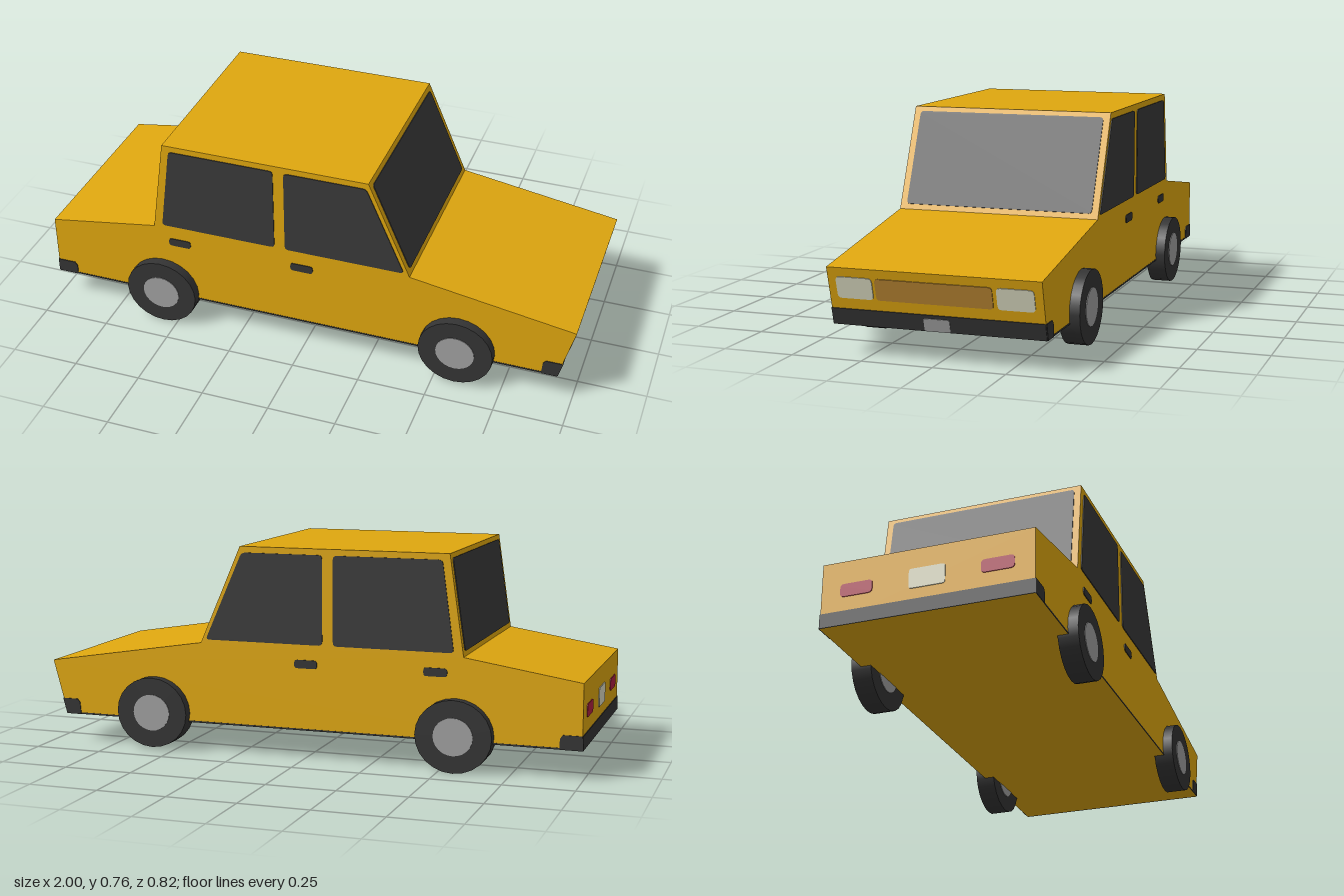
import * as THREE from 'three';

const paint = (name, color) => new THREE.MeshStandardMaterial({ name, color });

export function createModel() {
  const car = new THREE.Group();
  car.name = 'car';
  const yellow = paint('body yellow', 0xdfa70f);
  const glass = paint('dark glass', 0x393939);
  const black = paint('black rubber', 0x343434);
  const grey = paint('metal grey', 0xa0a0a0);
  const cream = paint('lamp cream', 0xdcdbc2);
  const bronze = paint('grille bronze', 0xb98632);
  const red = paint('tail lamp red', 0xb02042);
  const HALF = 0.37;

  const add = (name, geometry, material) => {
    const mesh = new THREE.Mesh(geometry, material);
    mesh.name = name;
    car.add(mesh);
    return mesh;
  };

  // Polygon with slightly rounded corners
  const rounded = (points, r) => {
    const p = points.map(([x, y]) => new THREE.Vector2(x, y));
    const shape = new THREE.Shape();
    p.forEach((c, i) => {
      const prev = p[(i + p.length - 1) % p.length], next = p[(i + 1) % p.length];
      const a = c.clone().add(prev.clone().sub(c).setLength(r));
      const b = c.clone().add(next.clone().sub(c).setLength(r));
      if (i) shape.lineTo(a.x, a.y); else shape.moveTo(a.x, a.y);
      shape.quadraticCurveTo(c.x, c.y, b.x, b.y);
    });
    shape.closePath();
    return shape;
  };
  const plate = (points, r, depth) => new THREE.ExtrudeGeometry(
    r ? rounded(points, r) : new THREE.Shape(points.map(([x, y]) => new THREE.Vector2(x, y))),
    { depth, bevelEnabled: false, curveSegments: 3 });

  // Body: one side profile extruded across the width
  const noseLow = [0.943, 0.105], noseTop = [0.997, 0.305];
  const screenLow = [0.395, 0.402], screenTop = [0.24, 0.757];
  const rearTop = [-0.53, 0.757], rearLow = [-0.582, 0.402];
  const tailTop = [-0.997, 0.337], tailLow = [-0.997, 0.105];
  const body = plate([tailLow, noseLow, noseTop, screenLow, screenTop, rearTop, rearLow, tailTop], 0, 2 * HALF);
  add('body', body.translate(0, 0, -HALF), yellow);

  // Plate on both flanks, given as x, y points
  const flank = (name, points, r, material, depth = 0.003) => {
    for (const side of [1, -1]) {
      const g = plate(points.map(([x, y]) => [x * side, y]), r, depth).translate(0, 0, HALF);
      if (side < 0) g.rotateY(Math.PI);
      add(name + (side > 0 ? 'Near' : 'Far'), g, material);
    }
  };

  // Rectangle on a face across the car that follows the profile line a-b
  const across = (name, a, b, dir, [z0, z1], [y0, y1], r, material, depth = 0.003) => {
    const slope = (b[0] - a[0]) / (b[1] - a[1]);
    const u = [-dir * z0, -dir * z1].sort((m, n) => m - n);
    const g = plate([[u[0], y0], [u[1], y0], [u[1], y1], [u[0], y1]], r, depth);
    g.applyMatrix4(new THREE.Matrix4().makeBasis(
      new THREE.Vector3(0, 0, -dir),
      new THREE.Vector3(slope, 1, 0),
      new THREE.Vector3(dir, -dir * slope, 0).normalize()
    ).setPosition(a[0] - slope * a[1], 0, 0));
    add(name, g, material);
  };

  // Windows
  flank('rearSideWindow', [[-0.548, 0.415], [-0.11, 0.415], [-0.11, 0.735], [-0.505, 0.735]], 0.014, glass);
  flank('frontSideWindow', [[-0.07, 0.415], [0.375, 0.415], [0.233, 0.735], [-0.07, 0.735]], 0.014, glass);
  across('windscreen', screenLow, screenTop, 1, [-0.346, 0.346], [0.42, 0.74], 0.012, glass);
  across('rearWindow', rearLow, rearTop, -1, [-0.346, 0.346], [0.42, 0.74], 0.012, glass);

  // Door handles and sills
  for (const x of [-0.525, -0.05]) {
    flank('doorHandle', [[x, 0.33], [x + 0.085, 0.33], [x + 0.085, 0.36], [x, 0.36]], 0.011, black);
  }
  flank('sill', [[-0.92, 0.105], [0.886, 0.105], [0.886, 0.111], [-0.92, 0.111]], 0, black, 0.001);

  // Bumpers with ends wrapping onto the flanks
  across('frontBumper', noseLow, noseTop, 1, [-HALF, HALF], [0.105, 0.162], 0, black);
  across('rearBumper', tailLow, tailTop, -1, [-HALF, HALF], [0.105, 0.156], 0, black);
  flank('frontBumperEnd', [[0.886, 0.105], [0.943, 0.105], [0.958, 0.162], [0.9, 0.162], [0.89, 0.15]], 0, black);
  flank('rearBumperEnd', [[-0.997, 0.105], [-0.92, 0.105], [-0.92, 0.143], [-0.93, 0.156], [-0.997, 0.156]], 0, black);

  // Nose details
  across('grille', noseLow, noseTop, 1, [-0.2, 0.204], [0.2, 0.274], 0.012, bronze);
  across('frontPlate', noseLow, noseTop, 1, [-0.044, 0.046], [0.106, 0.15], 0.006, grey, 0.005);

  // Lamps
  for (const s of [1, -1]) {
    across('headlamp', noseLow, noseTop, 1, [s * 0.214, s * 0.341], [0.2, 0.274], 0.014, cream);
    across('tailLamp', tailLow, tailTop, -1, [s * 0.188, s * 0.302], [0.207, 0.253], 0.014, red);
  }
  across('rearPlate', tailLow, tailTop, -1, [-0.06, 0.066], [0.195, 0.265], 0.01, cream);

  // Wheels: tyre with a hub showing on both sides
  for (const [x, y, label] of [[-0.556, 0.129, 'rear'], [0.58, 0.138, 'front']]) {
    for (const s of [1, -1]) {
      const wheel = new THREE.Group();
      wheel.name = label + 'Wheel' + (s > 0 ? 'Near' : 'Far');
      const disc = (name, radius, width, material) => {
        const g = new THREE.CylinderGeometry(radius, radius, width, 24).rotateX(Math.PI / 2);
        const mesh = new THREE.Mesh(g, material);
        mesh.name = name;
        wheel.add(mesh);
      };
      disc('tyre', 0.137, 0.072, black);
      disc('hub', 0.071, 0.077, grey);
      wheel.scale.y = 0.94;
      wheel.position.set(x, y, s * 0.37);
      car.add(wheel);
    }
  }
  return car;
}
